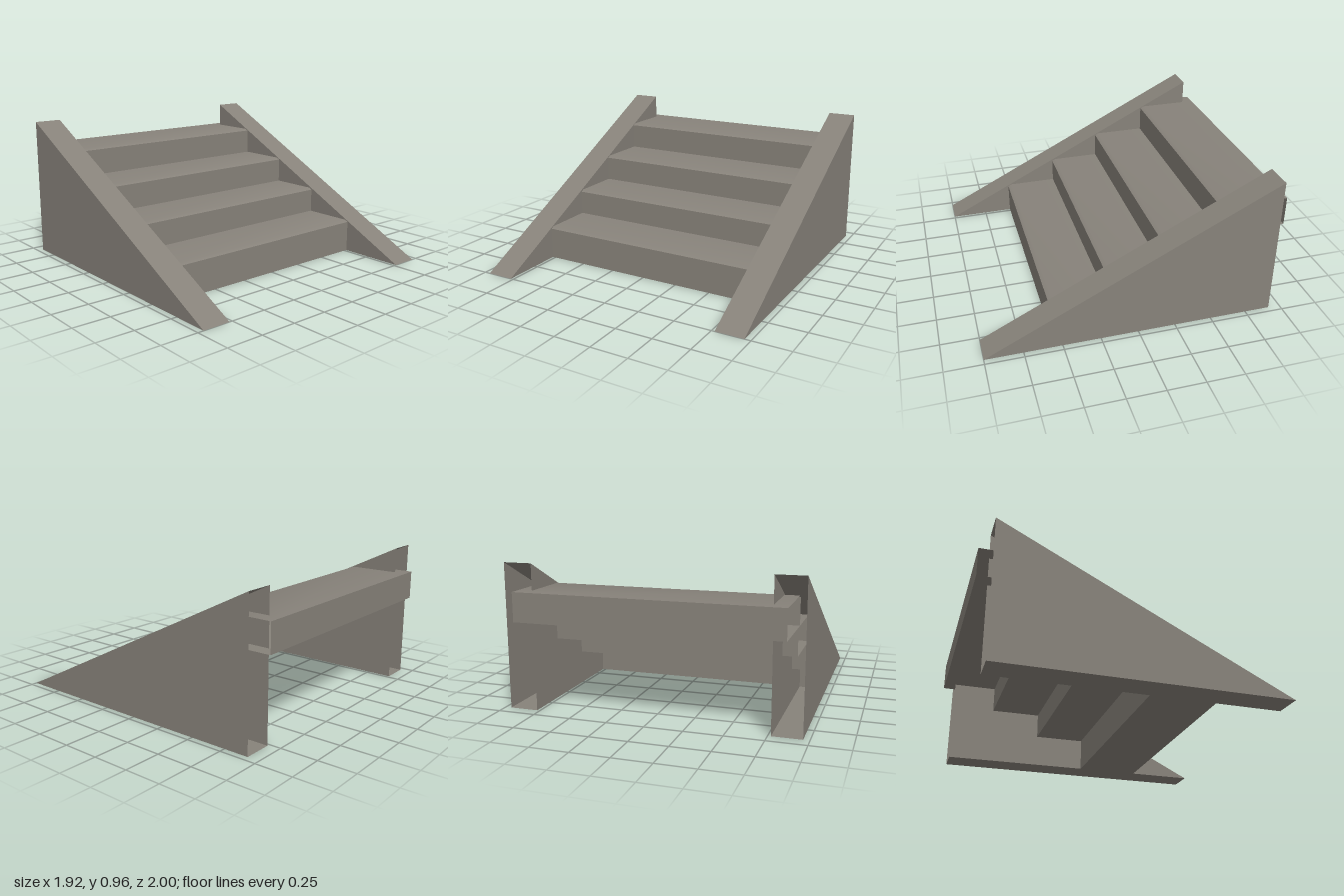
import * as THREE from 'three';
import { toCreasedNormals } from 'three/addons/utils/BufferGeometryUtils.js';

// Sweep a side profile of [z, y] points along x; optionally close it with triangular sides
function sweep(profile, x0, x1, closed, sides) {
  const pos = [];
  const put = (x, p) => pos.push(x, p[1], p[0]);
  const n = profile.length;
  for (let i = 0; i < (closed ? n : n - 1); i++) {
    const a = profile[i], b = profile[(i + 1) % n];
    put(x0, a); put(x1, a); put(x1, b);
    put(x0, a); put(x1, b); put(x0, b);
  }
  if (sides) {
    const [a, b, c] = profile;
    put(x1, b); put(x1, a); put(x1, c);
    put(x0, a); put(x0, b); put(x0, c);
  }
  const geo = new THREE.BufferGeometry();
  geo.setAttribute('position', new THREE.Float32BufferAttribute(pos, 3));
  return toCreasedNormals(geo, 0.7);
}

export function createModel() {
  const group = new THREE.Group();
  const stone = new THREE.MeshStandardMaterial({ color: 0x87827a, side: THREE.DoubleSide });
  stone.name = 'greyStone';

  const add = (name, geo) => {
    const mesh = new THREE.Mesh(geo, stone);
    mesh.name = name;
    group.add(mesh);
  };

  // Sloping side walls, hollow and open at the back
  const wall = [[-0.92, 0], [1, 0], [-0.92, 0.96]];
  add('leftSideWall', sweep(wall, 0.77, 0.96, false, true));
  add('rightSideWall', sweep(wall, -0.96, -0.77, false, true));

  // Steps with a chamfered front edge; their open ends sit inside the walls
  const levels = [0, 0.23, 0.41, 0.595, 0.787];
  const fronts = [0.55, 0.18, -0.18, -0.56];
  const backs = [0.11, -0.25, -0.61, -1];
  fronts.forEach((front, i) => {
    const bottom = levels[i], top = levels[i + 1], back = backs[i];
    const profile = [
      [front, bottom], [front, top - 0.012], [front - 0.025, top],
      [back, top], [back, bottom],
    ];
    add('step' + (i + 1), sweep(profile, -0.865, 0.865, true, false));
  });

  return group;
}
